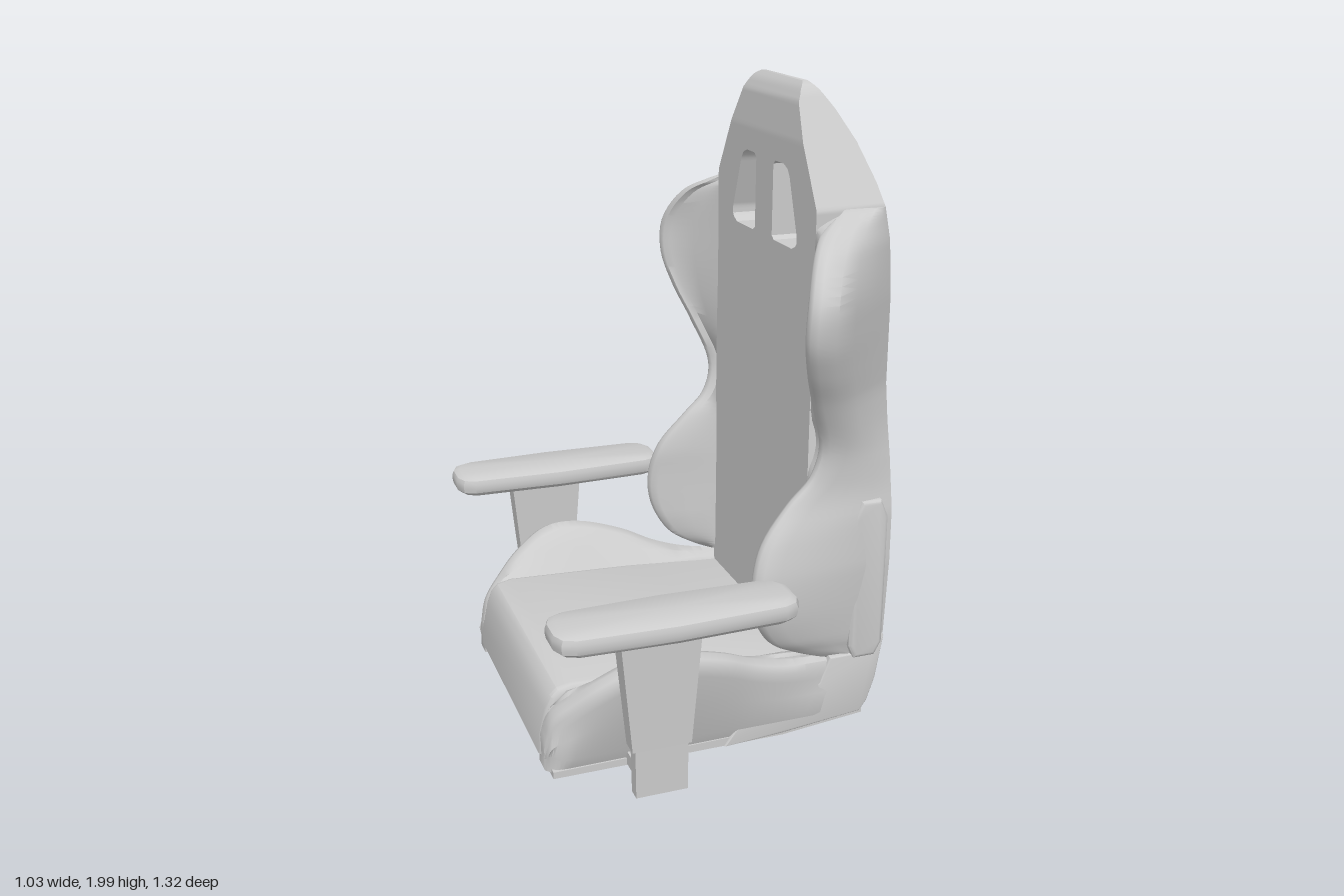
import * as THREE from 'three';
import { mergeVertices, toCreasedNormals } from 'three/addons/utils/BufferGeometryUtils.js';

const material = new THREE.MeshStandardMaterial({ color: 0xcccccc });

// Linear lookup in a list of [key, value] pairs with rising keys
function lookup(table, k) {
  if (k <= table[0][0]) return table[0][1];
  for (let i = 1; i < table.length; i++) {
    const [a, va] = table[i - 1], [b, vb] = table[i];
    if (k <= b) return va + (vb - va) * (k - a) / (b - a);
  }
  return table[table.length - 1][1];
}

// Closed skin through rings of [x, y, z] points, capped at both ends
function loft(rings, crease = 0.6) {
  const n = rings[0].length, pos = rings.flat(), idx = [];
  for (let r = 0; r < rings.length - 1; r++) {
    for (let i = 0; i < n; i++) {
      const a = r * n + i, b = r * n + (i + 1) % n;
      idx.push(a, b, b + n, a, b + n, a + n);
    }
  }
  [0, rings.length - 1].forEach((r, end) => {
    const c = pos.length;
    pos.push([0, 1, 2].map(k => rings[r].reduce((s, p) => s + p[k], 0) / n));
    for (let i = 0; i < n; i++) {
      const a = r * n + i, b = r * n + (i + 1) % n;
      idx.push(...(end ? [a, b, c] : [b, a, c]));
    }
  });
  // Turn the skin outward when its volume comes out negative
  const v = i => new THREE.Vector3(...pos[i]);
  let volume = 0;
  for (let i = 0; i < idx.length; i += 3) volume += v(idx[i]).dot(v(idx[i + 1]).cross(v(idx[i + 2])));
  if (volume < 0) idx.reverse();
  const g = new THREE.BufferGeometry();
  g.setAttribute('position', new THREE.Float32BufferAttribute(pos.flat(), 3));
  g.setIndex(idx);
  return toCreasedNormals(g, crease);
}

// Side profile in x, y extruded between two z values with a bevel
function slab(points, z0, z1, bevel) {
  const shape = new THREE.Shape(points.map(p => new THREE.Vector2(...p)));
  const g = new THREE.ExtrudeGeometry(shape, {
    depth: z1 - z0 - 2 * bevel, bevelEnabled: bevel > 0, bevelSize: bevel,
    bevelThickness: bevel, bevelOffset: -bevel, bevelSegments: 3 });
  g.translate(0, 0, z0 + bevel);
  return toCreasedNormals(g, 0.6);
}

function mirrorZ(geometry) {
  const g = mergeVertices(geometry.clone());
  g.scale(1, 1, -1);
  g.setIndex([...g.index.array].reverse());
  return g;
}

// Backrest outlines by height
const backX = [[0.38, 0.4], [0.46, 0.515], [1.45, 0.515], [1.6, 0.505], [1.75, 0.475],
  [1.85, 0.442], [1.93, 0.4], [1.98, 0.365], [2, 0.345]];
const frontX = [[1.85, 0.287], [1.95, 0.298], [1.985, 0.315], [2, 0.33]];
const halfWidth = [[0.38, 0.395], [0.46, 0.405], [0.7, 0.42], [0.85, 0.418], [1, 0.39],
  [1.1, 0.365], [1.2, 0.347], [1.69, 0.345], [1.97, 0.178], [1.99, 0.16], [2, 0.14]];
const holeOuter = [[1.56, 0.195], [1.567, 0.215], [1.58, 0.226], [1.6, 0.226], [1.75, 0.17],
  [1.77, 0.155], [1.78, 0.13]];
const holeInner = [[1.56, 0.075], [1.57, 0.06], [1.77, 0.06], [1.78, 0.075]];

// Piece of the back panel between two edges given as functions of height
function panelPiece(y0, y1, steps, zMin, zMax) {
  const rings = [], clip = z => THREE.MathUtils.clamp(z, -0.345, 0.345);
  for (let i = 0; i <= steps; i++) {
    const y = y0 + (y1 - y0) * i / steps, f = lookup(frontX, y), b = lookup(backX, y);
    const l = zMin(y), r = zMax(y);
    rings.push([[f, y, clip(l)], [f, y, clip(r)], [b, y, r], [b, y, l]]);
  }
  return loft(rings);
}

export function createModel() {
  const root = new THREE.Group();
  const add = (name, geometry) => {
    const mesh = new THREE.Mesh(geometry, material);
    mesh.name = name;
    root.add(mesh);
    return mesh;
  };
  const addPair = (name, geometry) => {
    add(name + 'PlusZ', geometry);
    add(name + 'MinusZ', mirrorZ(geometry));
  };

  // Back panel, split around the two harness holes
  const edge = y => lookup(halfWidth, y);
  const inner = y => lookup(holeInner, y), outer = y => lookup(holeOuter, y);
  add('backPanel', panelPiece(0.38, 1.56, 59, y => -edge(y), edge));
  add('headrestTop', panelPiece(1.78, 2, 22, y => -edge(y), edge));
  add('headrestCentreBar', panelPiece(1.56, 1.78, 22, y => -inner(y), inner));
  addPair('headrestSideBar', panelPiece(1.56, 1.78, 22, outer, edge));

  // Backrest wings: front edge x, height y, outer edge z
  const wingEdge = new THREE.CatmullRomCurve3([
    [0.36, 0.4, 0.408], [0.23, 0.45, 0.42], [0.15, 0.5, 0.44], [0.095, 0.6, 0.462],
    [0.09, 0.7, 0.465], [0.12, 0.8, 0.45], [0.2, 0.9, 0.428], [0.265, 0.97, 0.428],
    [0.287, 1.06, 0.44], [0.24, 1.2, 0.49], [0.2, 1.3, 0.54], [0.174, 1.4, 0.578],
    [0.178, 1.5, 0.58], [0.22, 1.6, 0.515], [0.28, 1.65, 0.435], [0.37, 1.69, 0.348],
  ].map(p => new THREE.Vector3(...p)));
  addPair('backWing', loft(wingEdge.getPoints(75).map(({ x: f, y, z: w }) => {
    const b = lookup(backX, y), p = edge(y), root0 = Math.max(0.29, f + 0.02);
    const t = Math.min(0.06, Math.max(0.012, (w - 0.335) * 0.5));
    const fx = Math.min(f + 0.07, b - 0.02);
    return [[b, p], [b * 0.7 + fx * 0.3, p * 0.7 + w * 0.3 + 0.01],
      [b * 0.3 + fx * 0.7, p * 0.3 + w * 0.7 + 0.01], [fx, w], [f + 0.02, w - 0.003],
      [f + 0.004, w - t * 0.25], [f, w - t * 0.5], [f + 0.006, w - t * 0.8], [f + 0.025, w - t],
      [(f + 0.025 + root0) / 2, (w - t + 0.335) / 2 + 0.005], [root0, 0.335], [b - 0.01, 0.32],
    ].map(([x, z]) => [x, y, z]);
  }), 0.75));

  // Seat cushion and the pan below it
  add('seatCushion', slab([[-0.48, 0.205], [-0.5, 0.235], [-0.497, 0.29], [-0.48, 0.37], [-0.465, 0.41],
    [-0.445, 0.43], [-0.4, 0.44], [0, 0.425], [0.3, 0.405], [0.44, 0.375], [0.468, 0.35],
    [0.475, 0.31], [0.468, 0.26], [0.44, 0.23], [0.2, 0.205]], -0.36, 0.36, 0.02));
  add('seatPan', slab([[-0.48, 0.195], [0.2, 0.195], [0.45, 0.22], [0.45, 0.24], [0.2, 0.22],
    [-0.48, 0.215]], -0.42, 0.42, 0));

  // Seat side bolsters: position x, top y, outer z
  const bolster = new THREE.CatmullRomCurve3([
    [-0.495, 0.3, 0.385], [-0.475, 0.37, 0.405], [-0.42, 0.43, 0.44], [-0.35, 0.49, 0.475],
    [-0.25, 0.545, 0.503], [-0.15, 0.55, 0.505], [0, 0.51, 0.485], [0.1, 0.465, 0.462],
    [0.2, 0.435, 0.445], [0.36, 0.415, 0.42],
  ].map(p => new THREE.Vector3(...p)));
  addPair('seatBolster', loft(bolster.getPoints(45).map(({ x, y: t, z: o }) => {
    const low = Math.min(t, 0.43), m = o - 0.03;
    return [[0.33, 0.205], [Math.min(o, 0.41), 0.205], [Math.min(o, 0.43), 0.25],
      [(o + 0.43) / 2, 0.21 + (t - 0.21) * 0.5], [o - 0.003, t - 0.06], [o, t - 0.03],
      [o - 0.008, t - 0.01], [m, t], [m - 0.03, t - 0.01],
      [(m + 0.345) / 2 - 0.005, (t + low) / 2], [0.345, low - 0.01], [0.33, low - 0.03],
    ].map(([z, y]) => [x, y, z]);
  }), 0.75));

  // Hinge brackets and uprights joining seat and back
  addPair('hingeBracket', slab([[0.02, 0.195], [0.2, 0.205], [0.44, 0.23], [0.462, 0.26], [0.485, 0.33],
    [0.507, 0.465], [0.47, 0.42], [0.34, 0.42], [0.31, 0.345], [0.1, 0.305]], 0.36, 0.427, 0.004));
  addPair('backUpright', slab([[0.41, 0.41], [0.475, 0.41], [0.497, 0.45], [0.497, 0.84], [0.475, 0.892],
    [0.415, 0.892], [0.392, 0.84], [0.392, 0.45]], 0.395, 0.438, 0.012));

  // Armrests: padded top, tapered post, lower sleeve and bracket
  const padRing = (y, s) => [[-0.52, 0.035], [-0.505, 0.07], [-0.47, 0.085], [-0.2, 0.096], [0.1, 0.085],
    [0.135, 0.07], [0.15, 0.04], [0.15, -0.04], [0.135, -0.07], [0.1, -0.085], [-0.2, -0.096],
    [-0.47, -0.085], [-0.505, -0.07], [-0.52, -0.035],
  ].map(([x, z]) => [-0.185 + (x + 0.185) * (1 - (1 - s) * 0.35), y, 0.564 + z * s]);
  addPair('armrestPad', loft([padRing(0.675, 0.86), padRing(0.687, 0.98), padRing(0.7, 1),
    padRing(0.715, 1), padRing(0.727, 0.96), padRing(0.735, 0.82)]));
  const box = (y, x0, x1, z0, z1) => [[x0, y, z0], [x1, y, z0], [x1, y, z1], [x0, y, z1]];
  addPair('armrestPost', loft([box(0.34, -0.308, -0.142, 0.537, 0.59), box(0.68, -0.34, -0.115, 0.53, 0.596)]));
  addPair('armrestSleeve', loft([box(0.198, -0.298, -0.152, 0.55, 0.587), box(0.36, -0.3, -0.15, 0.545, 0.587)]));
  addPair('armrestBracket', loft([box(0.2, -0.27, -0.18, 0.36, 0.56), box(0.24, -0.27, -0.18, 0.36, 0.56)]));

  // Mounting plate and tilted tension knob below the seat
  add('mountingPlate', loft([box(0.145, -0.1, 0.075, -0.07, 0.07), box(0.182, -0.14, 0.157, -0.145, 0.145),
    box(0.198, -0.14, 0.157, -0.145, 0.145)], 0.3));
  const tilted = (name, r0, r1, length, sides, x, y) => {
    const g = new THREE.CylinderGeometry(r0, r1, length, sides).toNonIndexed();
    g.computeVertexNormals();
    const mesh = add(name, g);
    mesh.position.set(x, y, 0);
    mesh.rotation.z = -0.35;
  };
  tilted('knobNeck', 0.043, 0.043, 0.09, 20, -0.093, 0.145);
  tilted('tensionKnob', 0.057, 0.052, 0.105, 18, -0.125, 0.078);
  for (let i = 0; i < 9; i++) {
    const a = i * Math.PI * 2 / 9, rib = new THREE.BoxGeometry(0.012, 0.09, 0.016);
    rib.translate(0.052, 0, 0).rotateY(a).rotateZ(-0.35).translate(-0.125, 0.078, 0);
    add('knobRib', rib);
  }
  return root;
}
